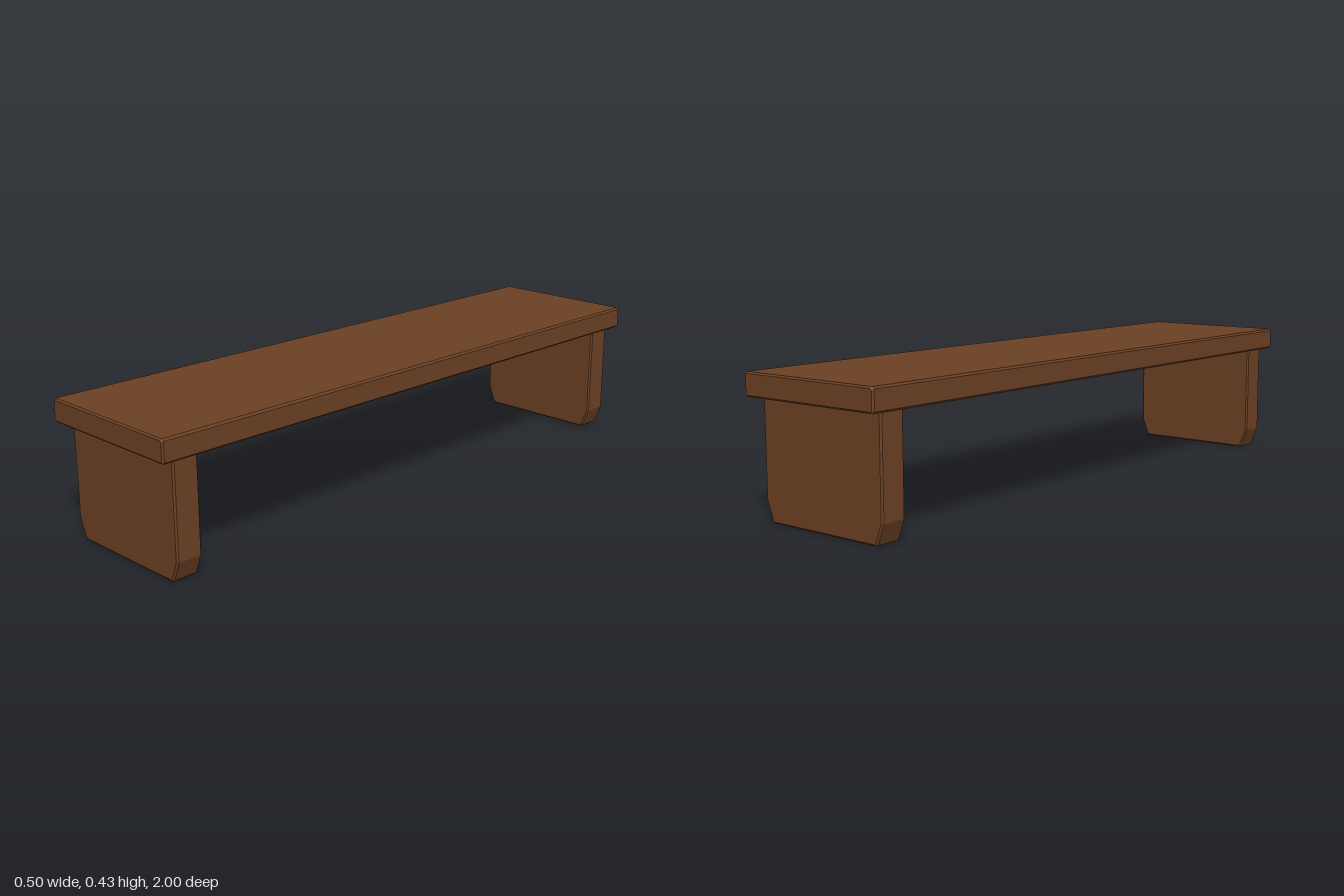
import * as THREE from 'three';

const BEVEL = 0.005;

// Solid with a chamfered outline in x/y, running from z0 to z1 with bevelled ends
function slab(points, z0, z1, material, name) {
  const shape = new THREE.Shape(points.map(([x, y]) => new THREE.Vector2(x, y)));
  const geometry = new THREE.ExtrudeGeometry(shape, {
    depth: z1 - z0 - 2 * BEVEL,
    bevelEnabled: true,
    bevelThickness: BEVEL,
    bevelSize: BEVEL,
    bevelOffset: -BEVEL,
    bevelSegments: 1,
  });
  geometry.translate(0, 0, z0 + BEVEL);
  const mesh = new THREE.Mesh(geometry, material);
  mesh.name = name;
  return mesh;
}

// Mirror the right-hand half of an outline (listed bottom to top) to close it
function mirrored(half) {
  return [...half, ...half.map(([x, y]) => [-x, y]).reverse()];
}

export function createModel() {
  const group = new THREE.Group();
  group.name = 'bench';
  const wood = new THREE.MeshStandardMaterial({ color: 0x6b4023 });
  wood.name = 'brown wood';

  // Seat plank with chamfered edges
  const seat = mirrored([[0.244, 0.355], [0.25, 0.361], [0.25, 0.419], [0.244, 0.425]]);
  group.add(slab(seat, -1, 1, wood, 'seat'));

  // Panel legs with cut lower corners, tucked slightly into the seat
  const leg = mirrored([[0.2, 0], [0.206, 0.005], [0.229, 0.063], [0.229, 0.36]]);
  group.add(slab(leg, 0.872, 0.955, wood, 'frontLeg'));
  group.add(slab(leg, -0.955, -0.872, wood, 'backLeg'));

  return group;
}
